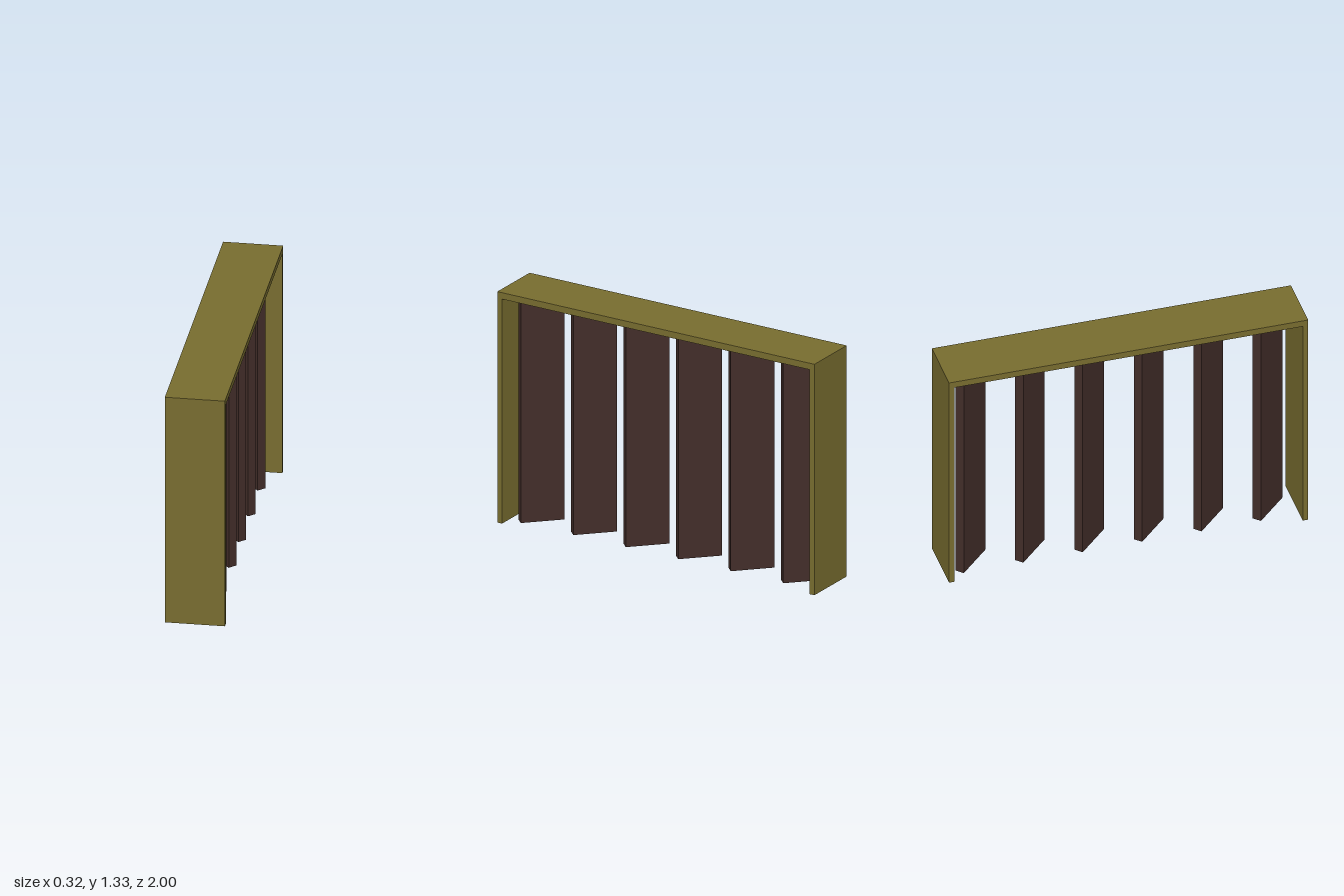
import * as THREE from 'three';

const WIDTH = 0.325, HEIGHT = 1.325, TOP = 0.037, SIDE = 0.03;

export function createModel() {
  const model = new THREE.Group();
  const olive = new THREE.MeshStandardMaterial({ color: 0x776c2f });
  const brown = new THREE.MeshStandardMaterial({ color: 0x422d29 });

  // Frame: two end panels joined by a top, as one upside-down U
  const outline = new THREE.Shape([
    [-1, 0], [-1 + SIDE, 0], [-1 + SIDE, HEIGHT - TOP], [1 - SIDE, HEIGHT - TOP],
    [1 - SIDE, 0], [1, 0], [1, HEIGHT], [-1, HEIGHT],
  ].map(([x, y]) => new THREE.Vector2(x, y)));
  const frameGeometry = new THREE.ExtrudeGeometry(outline, { depth: WIDTH, bevelEnabled: false });
  frameGeometry.translate(0, 0, -WIDTH / 2);
  frameGeometry.rotateY(Math.PI / 2);
  const frame = new THREE.Mesh(frameGeometry, olive);
  frame.name = 'frame';
  model.add(frame);

  // Upright slats, each turned 45 degrees, reaching from the floor to the top
  const slatHeight = HEIGHT - TOP;
  const slatGeometry = new THREE.BoxGeometry(0.05, slatHeight, 0.24);
  for (let i = 0; i < 6; i++) {
    const slat = new THREE.Mesh(slatGeometry, brown);
    slat.name = `slat${i + 1}`;
    slat.position.set(0, slatHeight / 2, 0.822 - i * 0.331);
    slat.rotation.y = Math.PI / 4;
    model.add(slat);
  }
  return model;
}
